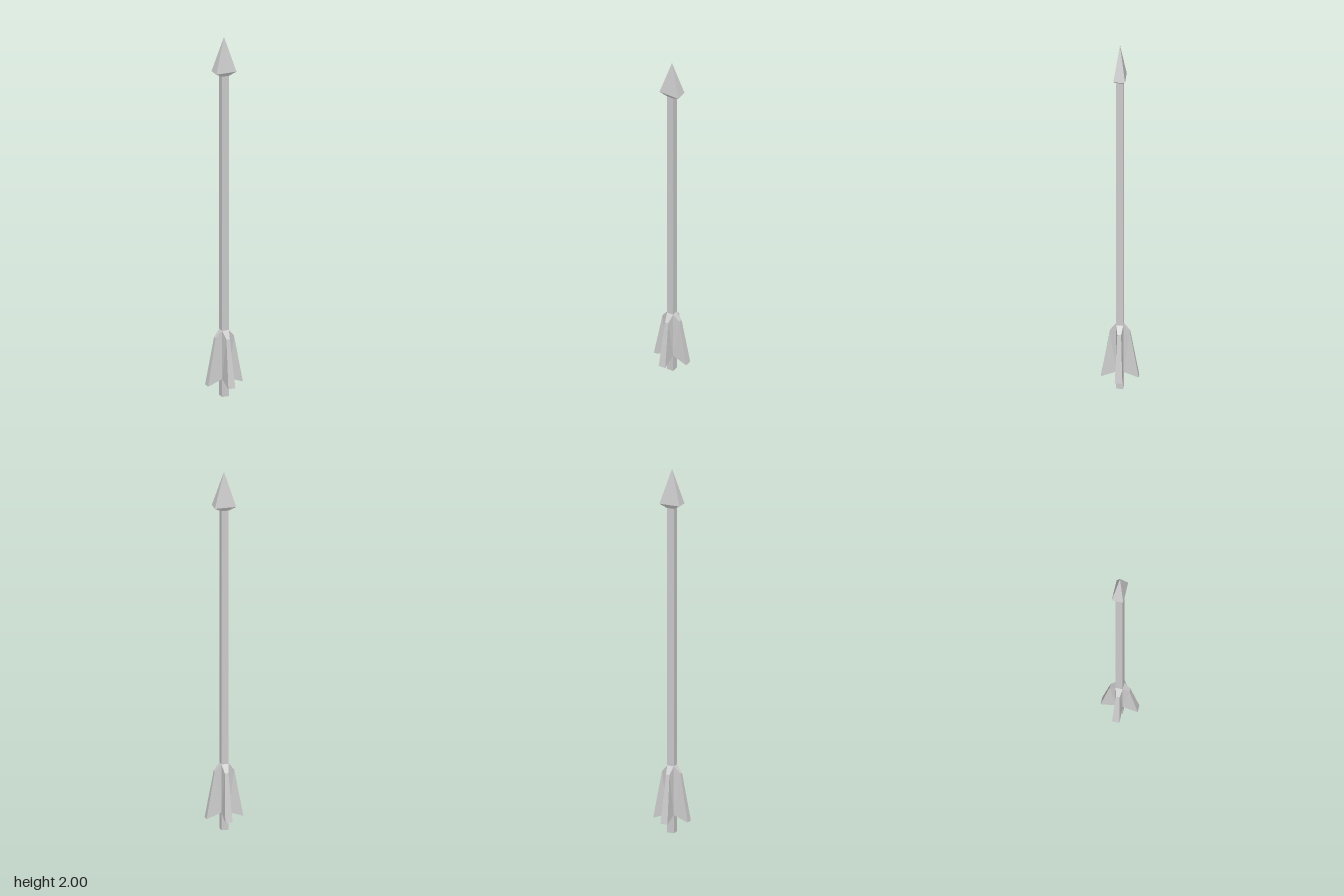
import * as THREE from 'three';

const material = new THREE.MeshStandardMaterial({ color: 0xcccccc, flatShading: true });

// Four-sided frustum with rectangular ends, given half sizes [x, z] at top and bottom
function frustum(name, y0, y1, bottom, top) {
  const geometry = new THREE.BoxGeometry(2, y1 - y0, 2);
  const p = geometry.attributes.position;
  for (let i = 0; i < p.count; i++) {
    const half = p.getY(i) > 0 ? top : bottom;
    p.setX(i, p.getX(i) * half[0]);
    p.setZ(i, p.getZ(i) * half[1]);
  }
  geometry.translate(0, (y0 + y1) / 2, 0);
  geometry.computeVertexNormals();
  const mesh = new THREE.Mesh(geometry, material);
  mesh.name = name;
  return mesh;
}

// Fin outline as [radius, height, half thickness], counterclockwise from the shoulder
const finProfile = [
  [0.053, 0.33, 0.01],
  [0.018, 0.37, 0.019],
  [0.018, 0.1, 0.019],
  [0.1, 0.07, 0.02],
];

function finGeometry() {
  const n = finProfile.length;
  const points = [];
  for (const side of [1, -1]) {
    for (const [r, y, w] of finProfile) points.push(r, y, w * side);
  }
  const index = [];
  // Two broad sides, fanned from the shoulder
  for (let i = 1; i < n - 1; i++) {
    index.push(0, i, i + 1, n, n + i + 1, n + i);
  }
  // Rim joining the sides
  for (let i = 0; i < n; i++) {
    const j = (i + 1) % n;
    index.push(i, n + i, n + j, i, n + j, j);
  }
  const indexed = new THREE.BufferGeometry();
  indexed.setAttribute('position', new THREE.Float32BufferAttribute(points, 3));
  indexed.setIndex(index);
  const geometry = indexed.toNonIndexed();
  geometry.computeVertexNormals();
  return geometry;
}

export function createModel() {
  const arrow = new THREE.Group();
  arrow.name = 'arrow';

  // Square shaft
  const s = 0.019;
  arrow.add(frustum('shaft', 0, 1.8, [s, s], [s, s]));

  // Flattened pyramid point with a short collar below it
  const head = new THREE.Group();
  head.name = 'arrowhead';
  head.add(frustum('headCollar', 1.787, 1.808, [0.021, s], [0.058, 0.031]));
  head.add(frustum('headPoint', 1.808, 2, [0.058, 0.031], [0, 0]));
  arrow.add(head);

  // Four fins around the tail
  const fletching = new THREE.Group();
  fletching.name = 'fletching';
  const geometry = finGeometry();
  for (let i = 0; i < 4; i++) {
    const fin = new THREE.Mesh(geometry, material);
    fin.name = 'fin';
    fin.rotation.y = (i * Math.PI) / 2;
    fletching.add(fin);
  }
  arrow.add(fletching);

  return arrow;
}
